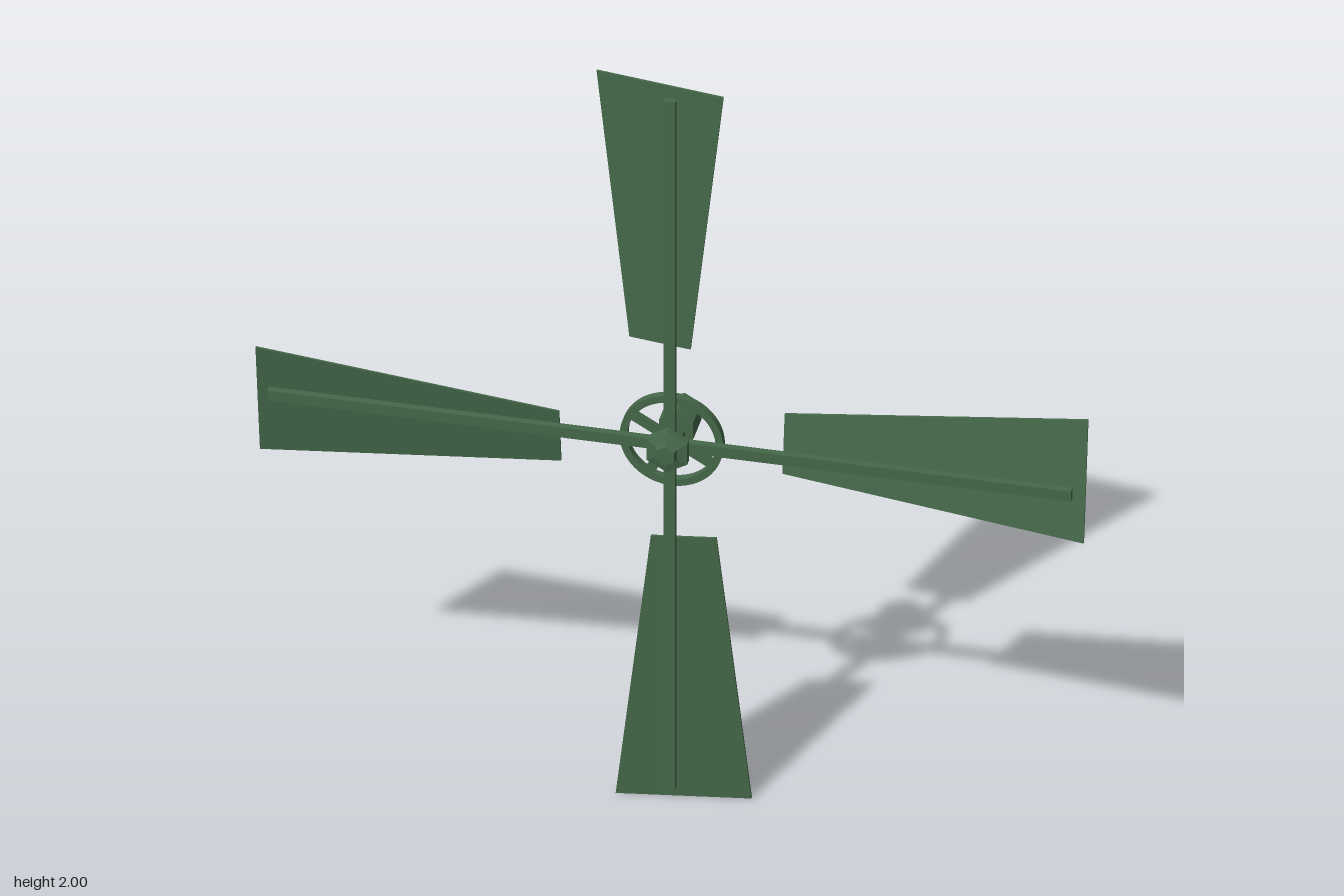
import * as THREE from 'three';

export function createModel() {
  const model = new THREE.Group();
  model.name = 'windmillSails';
  const green = new THREE.MeshStandardMaterial({ color: 0x46694a });
  green.name = 'darkGreen';

  // Everything hangs on a rotor centred on the axle
  const rotor = new THREE.Group();
  rotor.name = 'rotor';
  rotor.position.y = 1;
  model.add(rotor);

  const add = (parent, name, geometry) => {
    const mesh = new THREE.Mesh(geometry, green);
    mesh.name = name;
    parent.add(mesh);
    return mesh;
  };

  // Faceted turned part along z, from [radius, z] pairs going forward
  const turned = (profile, sides) => {
    const points = profile.map(([r, z]) => new THREE.Vector2(r, z));
    const g = new THREE.LatheGeometry(points, sides).rotateX(Math.PI / 2).toNonIndexed();
    g.computeVertexNormals();
    return g;
  };

  // Tapered sail, wider on one side of its spar and pitched about it
  const outline = new THREE.Shape([
    [-0.105, 0.27], [0.048, 0.27], [0.13, 1], [-0.187, 1],
  ].map(([x, y]) => new THREE.Vector2(x, y)));
  const sail = new THREE.ExtrudeGeometry(outline, { depth: 0.006, bevelEnabled: false });
  const pos = sail.attributes.position;
  for (let i = 0; i < pos.count; i++) {
    pos.setZ(i, pos.getZ(i) + 0.028 + 0.15 * pos.getX(i));
  }
  sail.computeVertexNormals();

  // Four arms, each a spar with a sail
  for (let i = 0; i < 4; i++) {
    const arm = new THREE.Group();
    arm.name = 'arm' + (i + 1);
    arm.rotation.z = i * Math.PI / 2;
    add(arm, 'sail', sail);
    add(arm, 'spar', new THREE.BoxGeometry(0.028, 0.97, 0.018)).position.set(0, 0.485, 0.047);
    rotor.add(arm);
  }

  // Flat wheel rim behind the spars
  const ring = new THREE.Shape().absarc(0, 0, 0.125, 0, Math.PI * 2, false);
  ring.holes.push(new THREE.Path().absarc(0, 0, 0.107, 0, Math.PI * 2, true));
  add(rotor, 'wheelRim', new THREE.ExtrudeGeometry(ring, {
    depth: 0.02, bevelEnabled: false, curveSegments: 32,
  })).position.z = 0.014;

  // Two crossing bars make the four wheel spokes
  for (let i = 0; i < 2; i++) {
    const bar = add(rotor, 'wheelSpokes', new THREE.BoxGeometry(0.22, 0.024, 0.012));
    bar.position.z = 0.024;
    bar.rotation.z = Math.PI / 3 + i * Math.PI / 2;
  }

  // Hexagonal hub nut, axle neck and rear block
  add(rotor, 'hubNut', turned([
    [0, 0.05], [0.035, 0.05], [0.057, 0.062], [0.057, 0.082], [0.03, 0.088], [0.026, 0.102], [0, 0.102],
  ], 6));
  add(rotor, 'axle', turned([[0, -0.03], [0.025, -0.03], [0.025, 0.055], [0, 0.055]], 6));
  add(rotor, 'rearBlock', turned([[0, -0.105], [0.047, -0.105], [0.047, -0.015], [0, -0.015]], 6));

  return model;
}
